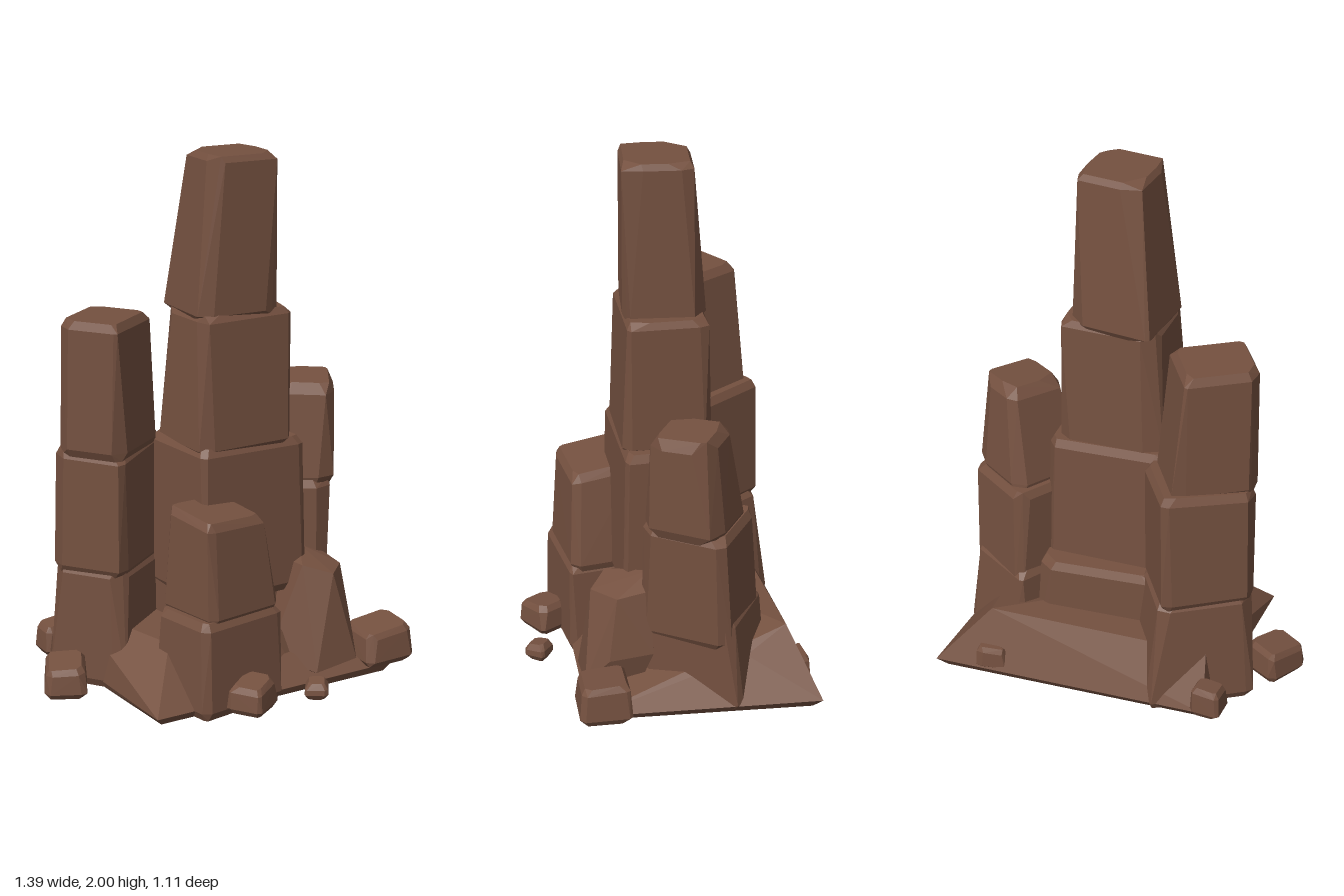
import * as THREE from 'three';
import { ConvexGeometry } from 'three/addons/geometries/ConvexGeometry.js';

export function createModel() {
  const model = new THREE.Group();
  model.name = 'rockSpires';
  const stone = new THREE.MeshStandardMaterial({ color: 0x755140, flatShading: true });
  stone.name = 'brown stone';

  // Small repeatable irregularity for chipped corners
  let seed = 7;
  const jitter = (amount) => {
    seed = (seed * 16807) % 2147483647;
    return (seed / 2147483647 - 0.5) * 2 * amount;
  };

  const addHull = (name, points, parent = model) => {
    const mesh = new THREE.Mesh(new ConvexGeometry(points), stone);
    mesh.name = name;
    parent.add(mesh);
  };
  const vectors = (list) => list.map((p) => new THREE.Vector3(...p));

  // Chamfered block from a bottom to a top section, each [centre x, centre z, width, depth];
  // turn is in degrees from x towards z, tilt is the rise of the top per unit [x, z]
  function addRock(name, y0, y1, bottom, top, turn, { chamfer = 0.03, bevel = 0.03, tilt = [0, 0], parent = model } = {}) {
    const a = THREE.MathUtils.degToRad(turn), c = Math.cos(a), s = Math.sin(a);
    const points = [];
    const rings = [[0, 0.015], [bevel / (y1 - y0), 0], [1 - bevel / (y1 - y0), 0], [1, bevel * 0.5]];
    const chip = () => Math.max(0.006, chamfer + jitter(chamfer * 0.8));
    for (const [t, inset] of rings) {
      const [cx, cz, w, d] = bottom.map((v, i) => v + (top[i] - v) * t);
      const hw = w / 2 - inset, hd = d / 2 - inset;
      for (const sx of [-1, 1]) for (const sz of [-1, 1]) {
        for (const [u, v] of [[sx * (hw - chip()), sz * hd], [sx * hw, sz * (hd - chip())]]) {
          const dx = u * c - v * s, dz = u * s + v * c;
          const y = y0 + (y1 - y0) * t + t * (dx * tilt[0] + dz * tilt[1]);
          points.push(new THREE.Vector3(cx + dx, y, cz + dz));
        }
      }
    }
    addHull(name, points, parent);
  }

  // Stacked column of rocks
  function addColumn(name, blocks) {
    const group = new THREE.Group();
    group.name = name;
    model.add(group);
    blocks.forEach(([y0, y1, bottom, top, turn, options], i) =>
      addRock(`${name}Block${i + 1}`, y0, y1, bottom, top, turn, { ...options, parent: group }));
  }

  // Sloping ground slab: low at the front right, a ridge along the back
  addHull('groundSlab', vectors([
    [-0.47, 0.02, -0.34], [0.52, 0.02, -0.52], [0.58, 0.02, 0.29], [-0.39, 0.02, 0.39],
    [-0.49, 0.06, -0.37], [0.55, 0.06, -0.555], [0.605, 0.05, 0.3], [-0.415, 0.05, 0.415],
    [-0.45, 0.26, -0.27], [0.37, 0.28, -0.43], [0.45, 0.2, -0.28],
    [-0.28, 0.25, 0.22], [0.12, 0.17, 0.2],
  ]));

  addColumn('centreSpire', [
    [0.04, 0.46, [0.07, -0.05, 0.48, 0.43], [0.06, -0.055, 0.46, 0.4], -13],
    [0.36, 0.95, [0.06, 0.01, 0.46, 0.38], [0.055, 0.01, 0.45, 0.35], -9, { chamfer: 0.025, tilt: [-0.03, 0] }],
    [0.92, 1.435, [0.04, 0.02, 0.4, 0.33], [0.055, 0.017, 0.37, 0.29], -7, { chamfer: 0.04, bevel: 0.025 }],
    [1.41, 2.0, [0.03, 0.01, 0.325, 0.3], [0.06, 0.035, 0.25, 0.25], -2, { chamfer: 0.045, bevel: 0.022 }],
  ]);

  addColumn('rightTallSpire', [
    [0.03, 0.49, [-0.34, -0.17, 0.41, 0.32], [-0.355, -0.15, 0.355, 0.29], -40],
    [0.46, 0.94, [-0.36, -0.15, 0.355, 0.295], [-0.355, -0.145, 0.36, 0.285], -41, { tilt: [0.04, -0.06] }],
    [0.91, 1.415, [-0.365, -0.115, 0.33, 0.27], [-0.385, -0.1, 0.275, 0.24], -40],
  ]);

  addColumn('leftSpire', [
    [0.03, 0.4, [0.36, -0.14, 0.31, 0.39], [0.36, -0.12, 0.3, 0.34], 24],
    [0.28, 0.74, [0.365, -0.11, 0.3, 0.36], [0.37, -0.1, 0.31, 0.33], 26],
    [0.71, 1.11, [0.385, -0.09, 0.3, 0.31], [0.425, -0.07, 0.21, 0.23], 26, { chamfer: 0.045, bevel: 0.04, tilt: [0, -0.08] }],
  ]);

  addColumn('frontStump', [
    [0.02, 0.385, [-0.1, 0.27, 0.38, 0.29], [-0.1, 0.27, 0.36, 0.27], -15, { chamfer: 0.02 }],
    [0.36, 0.75, [-0.08, 0.26, 0.34, 0.27], [-0.115, 0.26, 0.26, 0.24], -15, { chamfer: 0.02, tilt: [-0.08, -0.1] }],
  ]);

  // Broad leaning crag and the splinter beside it
  addHull('frontLeftCrag', vectors([
    [0.42, 0, 0.14], [0.2, 0.04, 0.07], [0.14, 0.12, 0.19], [0.27, 0.08, 0.335], [0.45, 0.1, 0.31],
    [0.475, 0.2, 0.22], [0.46, 0.22, 0.06], [0.25, 0.46, 0.08], [0.33, 0.495, 0.07], [0.42, 0.46, 0.07],
    [0.44, 0.44, 0.19], [0.36, 0.44, 0.285], [0.26, 0.47, 0.23],
  ]));
  addRock('frontSplinter', 0.04, 0.25, [0.14, 0.22, 0.2, 0.14], [0.14, 0.18, 0.1, 0.1], 20, { bevel: 0.02, tilt: [-0.3, 0] });
  addRock('backPebble', 0.05, 0.15, [0.34, -0.49, 0.12, 0.05], [0.34, -0.49, 0.11, 0.04], -15, { chamfer: 0.015, bevel: 0.02 });

  // Loose boulders round the foot: name, bottom, top, x, z, width, depth, turn
  const boulders = [
    ['rightBoulder', 0.05, 0.17, -0.605, 0.02, 0.16, 0.19, 22],
    ['backRightBoulder', 0.06, 0.18, -0.5, -0.345, 0.12, 0.11, -5],
    ['frontBoulder', 0.045, 0.155, -0.06, 0.46, 0.16, 0.14, -38],
    ['frontPebble', 0.055, 0.12, 0.19, 0.48, 0.09, 0.09, 30],
    ['leftBoulder', 0.06, 0.2, 0.58, 0.245, 0.215, 0.195, -6],
  ];
  for (const [name, y0, y1, x, z, w, d, turn] of boulders) {
    addRock(name, y0, y1, [x, z, w, d], [x, z, w * 0.87, d * 0.87], turn,
      { chamfer: w * 0.1, bevel: 0.022, tilt: [0.1, -0.1] });
  }

  return model;
}
